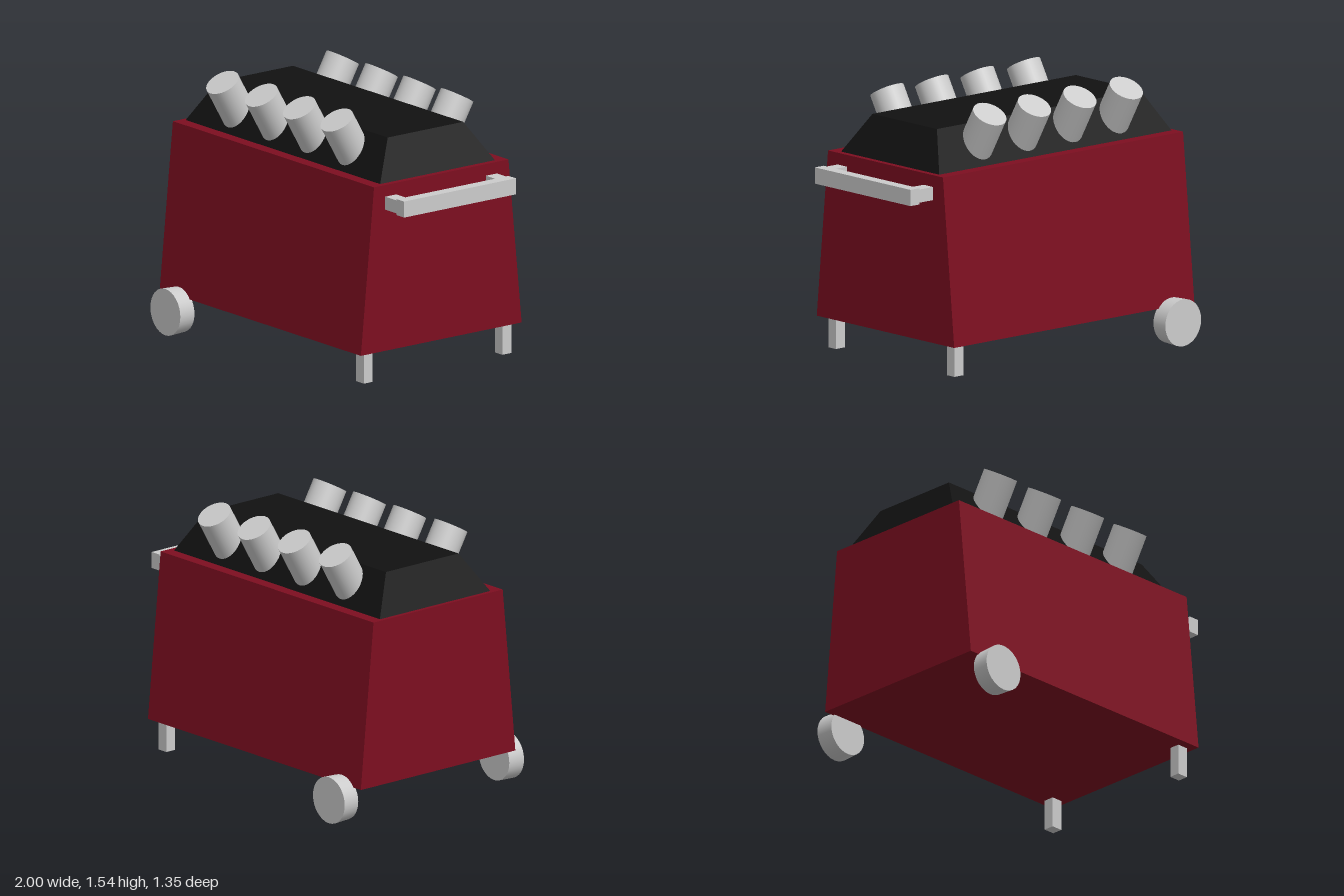
import * as THREE from 'three';

const grey = new THREE.MeshStandardMaterial({ color: 0xcccccc });
const red = new THREE.MeshStandardMaterial({ color: 0x7d0e20, flatShading: true });
const black = new THREE.MeshStandardMaterial({ color: 0x111111, flatShading: true });

function add(parent, name, geometry, material) {
  const mesh = new THREE.Mesh(geometry, material);
  mesh.name = name;
  parent.add(mesh);
  return mesh;
}

// Box given by its lower and upper corners
function boxBetween([x0, y0, z0], [x1, y1, z1]) {
  return new THREE.BoxGeometry(x1 - x0, y1 - y0, z1 - z0)
    .translate((x0 + x1) / 2, (y0 + y1) / 2, (z0 + z1) / 2);
}

// Box whose top face is pulled in by insetX and insetZ on each side
function taperedBox(min, max, insetX, insetZ) {
  const geometry = boxBetween(min, max);
  const p = geometry.attributes.position;
  const cx = (min[0] + max[0]) / 2, cy = (min[1] + max[1]) / 2, cz = (min[2] + max[2]) / 2;
  for (let i = 0; i < p.count; i++) {
    if (p.getY(i) < cy) continue;
    p.setX(i, p.getX(i) - Math.sign(p.getX(i) - cx) * insetX);
    p.setZ(i, p.getZ(i) - Math.sign(p.getZ(i) - cz) * insetZ);
  }
  geometry.computeVertexNormals();
  return geometry;
}

export function createModel() {
  const model = new THREE.Group();
  model.name = 'cart';

  // Body with sloping long sides, and the lid on top
  add(model, 'body', taperedBox([-1, 0.22, -0.583], [0.825, 1.19, 0.577], 0, 0.095), red);
  add(model, 'lid', taperedBox([-0.975, 1.19, -0.418], [0.79, 1.415, 0.41], 0.11, 0.142), black);

  // Tubes leaning outwards from the lid, four on each long side
  const tilt = Math.PI / 6;
  const tubeGeometry = new THREE.CylinderGeometry(0.1, 0.1, 0.3, 32).translate(0, -0.15, 0);
  for (const side of [1, -1]) {
    for (const x of [-0.615, -0.262, 0.083, 0.423]) {
      const tube = add(model, 'tube', tubeGeometry, grey);
      tube.position.set(x, 1.49, side * 0.434 - 0.003);
      tube.rotation.x = side * tilt;
    }
  }

  // Wheels at one end, slightly wider on the outside, and legs at the other
  const wheelGeometry = new THREE.CylinderGeometry(0.136, 0.131, 0.106, 32);
  for (const side of [1, -1]) {
    const wheel = add(model, 'wheel', wheelGeometry, grey);
    wheel.position.set(-0.832, 0.14, side * 0.62 - 0.003);
    wheel.rotation.x = side * Math.PI / 2;

    const z = side * 0.5 - 0.008;
    add(model, 'leg', boxBetween([0.716, 0.04, z - 0.032], [0.785, 0.23, z + 0.032]), grey);
  }

  // Push handle
  const handle = new THREE.Group();
  handle.name = 'handle';
  model.add(handle);
  add(handle, 'handleBar', boxBetween([0.93, 1.036, -0.405], [0.997, 1.13, 0.402]), grey);
  for (const z of [-0.405, 0.322]) {
    add(handle, 'handleArm', boxBetween([0.77, 1.046, z], [0.932, 1.122, z + 0.08]), grey);
  }

  return model;
}
